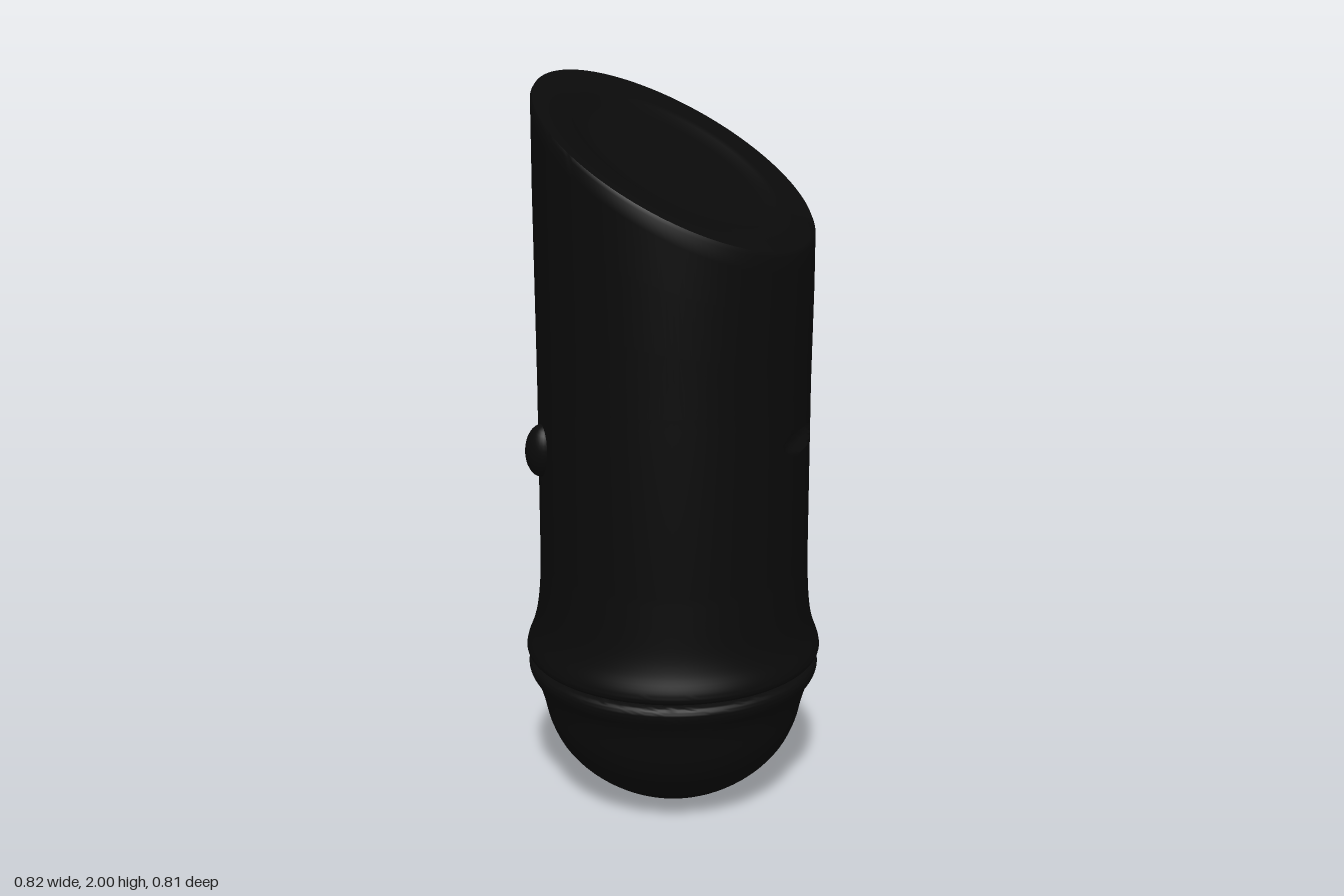
import * as THREE from 'three';
import { toCreasedNormals } from 'three/addons/utils/BufferGeometryUtils.js';

const SIDES = 144;
const black = new THREE.MeshStandardMaterial({ color: 0x0a0a0a });
black.name = 'black';

const smooth = (pts, n) =>
  new THREE.SplineCurve(pts.map(([r, y]) => new THREE.Vector2(r, y))).getPoints(n);

function addPart(group, name, geometry) {
  const mesh = new THREE.Mesh(toCreasedNormals(geometry, 0.75), black);
  mesh.name = name;
  group.add(mesh);
  return mesh;
}

// Carved facial slits: angle from +x towards +z, height, half sizes, depth
const slits = [
  { angle: 0.65, y: 1.08, a: 0.29, h: 0.03, depth: 0.03 },
  { angle: -0.45, y: 1.08, a: 0.27, h: 0.03, depth: 0.03 },
  { angle: 0.09, y: 0.78, a: 0.19, h: 0.016, depth: 0.025 },
];

// Hollow cut of the slits, the slanted top and the slight offset of the tube
function shapeTube(geometry) {
  const pos = geometry.attributes.position;
  for (let i = 0; i < pos.count; i++) {
    let x = pos.getX(i), y = pos.getY(i), z = pos.getZ(i);
    const angle = Math.atan2(z, x);
    for (const s of slits) {
      const u = (angle - s.angle) / s.a;
      const v = (y - s.y) / s.h;
      const inside = 1 - u * u - v * v;
      if (inside > 0 && y < 1.2) {
        const k = 1 - s.depth * Math.sqrt(inside) / 0.37;
        x *= k;
        z *= k;
      }
    }
    const slant = THREE.MathUtils.clamp((y - 1.2) / 0.55, 0, 1);
    y -= slant * 0.382 * (x + z);
    z += 0.008 * THREE.MathUtils.smoothstep(y, 0.45, 0.65);
    pos.setXYZ(i, x, y, z);
  }
  return geometry;
}

export function createModel() {
  const model = new THREE.Group();
  model.name = 'slantedTube';

  // Rounded bottom cup with a flared lip
  const cup = smooth([
    [0, 0], [0.09, 0.006], [0.17, 0.032], [0.25, 0.085], [0.31, 0.15], [0.345, 0.22],
    [0.363, 0.29], [0.378, 0.335], [0.398, 0.37], [0.401, 0.395], [0.385, 0.409], [0.34, 0.413],
  ], 48);
  cup[0].set(0, 0);
  addPart(model, 'bottomCup', new THREE.LatheGeometry(cup, SIDES));

  // Tube: flared foot, fine rows around the carved face, then a slanted dished top
  const profile = smooth([
    [0.34, 0.413], [0.385, 0.417], [0.405, 0.43], [0.404, 0.455], [0.388, 0.5],
    [0.377, 0.55], [0.37, 0.62], [0.367, 0.7],
  ], 30);
  for (let y = 0.71; y < 1.17; y += 0.008) profile.push(new THREE.Vector2(0.367, y));
  for (const [r, y] of [
    [0.367, 1.2], [0.369, 1.4], [0.371, 1.6], [0.371, 1.75], [0.371, 1.79], [0.366, 1.8],
    [0.28, 1.8], [0.265, 1.795], [0.24, 1.782], [0.22, 1.78], [0, 1.78],
  ]) profile.push(new THREE.Vector2(r, y));
  addPart(model, 'tube', shapeTube(new THREE.LatheGeometry(profile, SIDES)));

  // Small bud on the side opposite the face
  const bud = addPart(model, 'bud', new THREE.SphereGeometry(1, 24, 16));
  bud.scale.set(0.045, 0.078, 0.055);
  bud.position.set(-0.364, 1.03, -0.005);
  bud.rotation.x = 0.3;

  return model;
}
